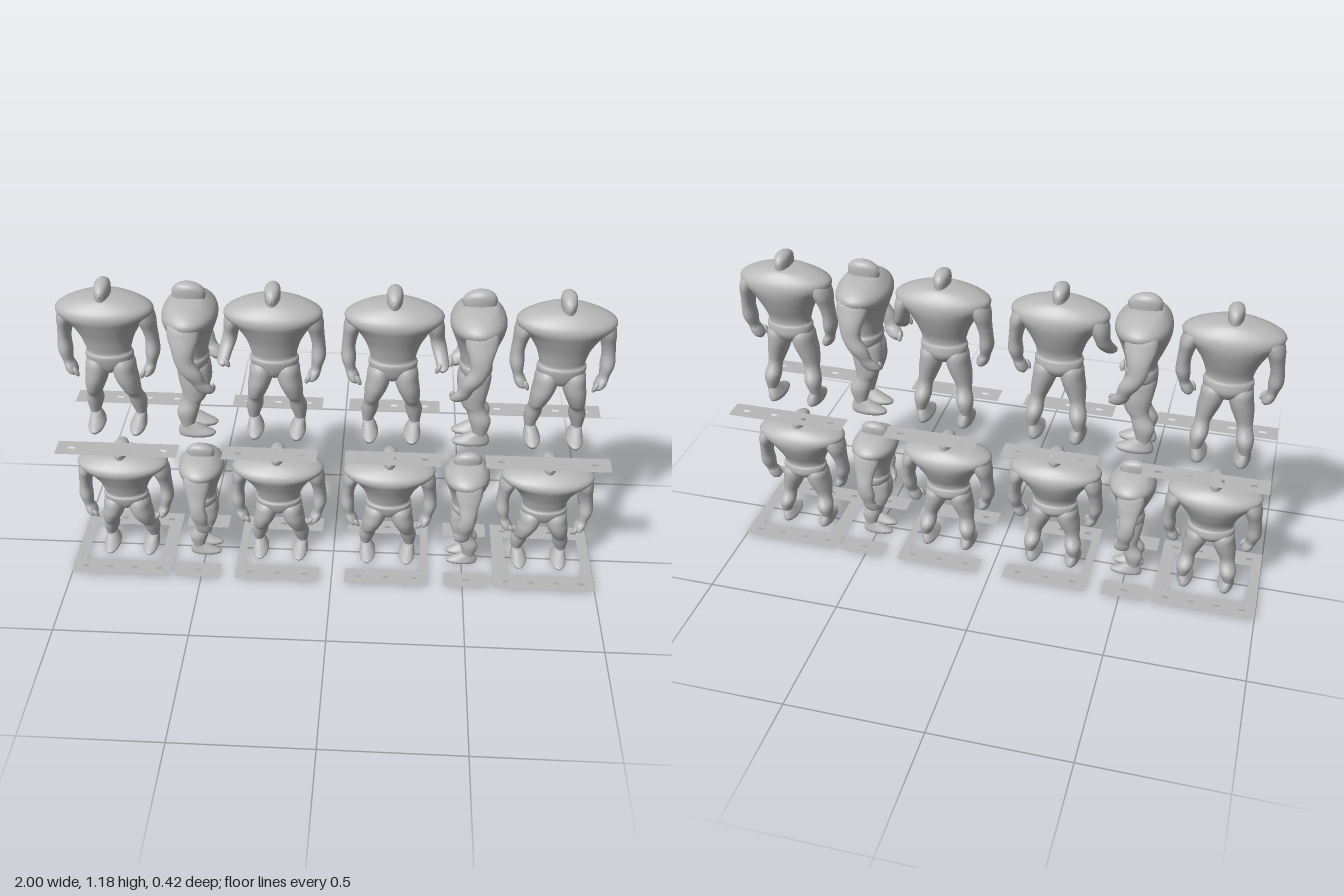
import * as THREE from 'three';

const grey = new THREE.MeshStandardMaterial({ color: 0xb8b8b8 });
grey.name = 'clay grey';
const plateGrey = new THREE.MeshStandardMaterial({ color: 0xb8b8b8, side: THREE.DoubleSide });
plateGrey.name = 'plate grey';

// Smooth body from elliptical sections, bottom to top: [y, centre x, centre z, radius x, radius z]
function loft(name, rows, side = 1, seg = 20) {
  const centre = new THREE.CatmullRomCurve3(rows.map(r => new THREE.Vector3(r[1] * side, r[0], r[2])), false, 'catmullrom');
  const radius = new THREE.CatmullRomCurve3(rows.map(r => new THREE.Vector3(r[3], r[4], 0)), false, 'catmullrom');
  const steps = (rows.length - 1) * 4;
  const pos = [], index = [];
  for (let i = 0; i <= steps; i++) {
    const c = centre.getPoint(i / steps), r = radius.getPoint(i / steps);
    for (let j = 0; j < seg; j++) {
      const a = j / seg * Math.PI * 2;
      pos.push(c.x + Math.max(r.x, 0.001) * Math.cos(a), c.y, c.z + Math.max(r.y, 0.001) * Math.sin(a));
    }
  }
  for (let i = 0; i < steps; i++) {
    for (let j = 0; j < seg; j++) {
      const k = (j + 1) % seg, lo = i * seg, hi = lo + seg;
      index.push(lo + j, hi + j, hi + k, lo + j, hi + k, lo + k);
    }
  }
  // end caps
  const first = rows[0], last = rows[rows.length - 1], n = pos.length / 3;
  pos.push(first[1] * side, first[0], first[2], last[1] * side, last[0], last[2]);
  for (let j = 0; j < seg; j++) {
    const k = (j + 1) % seg, top = steps * seg;
    index.push(n, j, k, n + 1, top + k, top + j);
  }
  const g = new THREE.BufferGeometry();
  g.setAttribute('position', new THREE.Float32BufferAttribute(pos, 3));
  g.setIndex(index);
  g.computeVertexNormals();
  const m = new THREE.Mesh(g, grey);
  m.name = name;
  return m;
}

const TORSO = [
  [0.245, 0, 0.005, 0.012, 0.02], [0.262, 0, 0, 0.045, 0.042], [0.29, 0, -0.003, 0.08, 0.056],
  [0.32, 0, 0, 0.087, 0.058], [0.334, 0, 0, 0.08, 0.053], [0.36, 0, 0, 0.085, 0.058],
  [0.40, 0, -0.003, 0.1, 0.072], [0.45, 0, -0.003, 0.132, 0.09], [0.485, 0, 0, 0.168, 0.098],
  [0.512, 0, 0, 0.168, 0.092], [0.537, 0, -0.003, 0.125, 0.072], [0.552, 0, -0.006, 0.065, 0.05],
  [0.557, 0, -0.008, 0.005, 0.01]];
// jaw overhangs in front, nape slopes into the back
const HEAD = [
  [0.515, 0, -0.02, 0.03, 0.05], [0.533, 0, -0.006, 0.026, 0.053], [0.55, 0, 0, 0.027, 0.057],
  [0.575, 0, 0, 0.028, 0.058], [0.592, 0, -0.002, 0.026, 0.047], [0.603, 0, -0.004, 0.017, 0.029],
  [0.608, 0, -0.005, 0.004, 0.008]];
const LEG = [
  [0.015, 0.086, -0.03, 0.018, 0.022], [0.045, 0.086, -0.03, 0.019, 0.024], [0.1, 0.08, -0.028, 0.031, 0.039],
  [0.14, 0.074, -0.012, 0.027, 0.035], [0.165, 0.069, 0, 0.031, 0.041], [0.21, 0.058, 0.004, 0.04, 0.053],
  [0.25, 0.049, 0.002, 0.043, 0.058], [0.29, 0.046, 0, 0.041, 0.055], [0.325, 0.04, 0, 0.022, 0.03]];
const FOOT = [
  [0, 0.077, 0, 0.027, 0.065], [0.012, 0.077, 0, 0.031, 0.068], [0.03, 0.08, -0.014, 0.025, 0.05],
  [0.052, 0.085, -0.028, 0.018, 0.026]];
const UPPER_ARM = [
  [0.42, 0.15, -0.008, 0.027, 0.042], [0.465, 0.14, -0.008, 0.034, 0.056],
  [0.505, 0.122, -0.008, 0.032, 0.05], [0.53, 0.1, -0.008, 0.005, 0.01]];
const HANGING = [
  [0.233, 0.13, 0.015, 0.006, 0.012], [0.248, 0.136, 0.014, 0.02, 0.03], [0.27, 0.144, 0.01, 0.021, 0.031],
  [0.29, 0.151, 0.006, 0.019, 0.026], [0.33, 0.157, 0, 0.026, 0.036], [0.375, 0.157, -0.006, 0.024, 0.034]];
const RAISED = [
  [0.325, 0.172, 0.075, 0.008, 0.012], [0.338, 0.173, 0.065, 0.021, 0.03], [0.358, 0.168, 0.038, 0.024, 0.036],
  [0.388, 0.158, 0.006, 0.027, 0.038]];
// hanging arm swung forward from the elbow and tucked in
const FORWARD = HANGING.map(([y, x, z, rx, rz]) => [y, x - 0.011, z + (0.375 - y) * 0.36, rx, rz]);

const FRONTAL = { breadth: 1, stance: 1 };
const PROFILE = { breadth: 0.84, stance: 0.47 };

function arm(side, lower, stretch, breadth) {
  const g = new THREE.Group();
  g.name = side > 0 ? 'leftArm' : 'rightArm';
  const drop = y => 0.53 - (0.53 - y) * stretch;
  const upper = UPPER_ARM.map(([y, x, ...rest], i) => [y, x * (i ? breadth : (1 + breadth) / 2), ...rest]);
  const rows = [...lower, ...upper].map(r => [drop(r[0]), ...r.slice(1)]);
  g.add(loft('armAndHand', rows, side));
  // thumb on the front inner edge of the hand
  const [y, x, z] = rows[1];
  const thumb = new THREE.Mesh(new THREE.SphereGeometry(0.01, 10, 8), grey);
  thumb.name = 'thumb';
  thumb.scale.set(0.9, 2, 1);
  thumb.position.set(side * (x - 0.016), y + 0.004, z + 0.022);
  thumb.rotation.z = -side * 0.4;
  g.add(thumb);
  return g;
}

function figure(name, leftArm, rightArm, stretch, { breadth, stance }) {
  const g = new THREE.Group();
  g.name = name;
  const torso = TORSO.map(([y, x, z, rx, rz]) => [y, x, z, rx * breadth, rz]);
  g.add(loft('torso', torso, 1, 32), loft('head', HEAD));
  const nose = new THREE.Mesh(new THREE.SphereGeometry(0.006, 10, 8), grey);
  nose.name = 'nose';
  nose.scale.set(0.8, 1.5, 0.8);
  nose.position.set(0, 0.567, 0.057);
  g.add(nose);
  const together = rows => rows.map(([y, x, ...rest]) => [y, x * stance, ...rest]);
  for (const s of [1, -1]) {
    g.add(loft('leg', together(LEG), s), loft('foot', together(FOOT), s));
    g.add(arm(s, s > 0 ? leftArm : rightArm, stretch, breadth));
  }
  return g;
}

// Thin floor plate with a row of small slots; x0..x1 by z0..z1
function plate(name, x0, x1, z0, z1, y) {
  const rect = (P, a, b, c, d) => {
    const p = new P();
    p.moveTo(a, c); p.lineTo(b, c); p.lineTo(b, d); p.lineTo(a, d); p.closePath();
    return p;
  };
  // the shape is laid flat, so its y runs along -z
  const shape = rect(THREE.Shape, x0, x1, -z1, -z0);
  const count = Math.floor((x1 - x0) / 0.09), mid = -(z0 + z1) / 2;
  if (z1 - z0 < 0.15) {
    for (let i = 0; i < count; i++) {
      const cx = x0 + (i + 0.5) * (x1 - x0) / count;
      shape.holes.push(rect(THREE.Path, cx - 0.012, cx + 0.012, mid - 0.006, mid + 0.006));
    }
  }
  const m = new THREE.Mesh(new THREE.ShapeGeometry(shape), plateGrey);
  m.name = name;
  m.rotation.x = -Math.PI / 2;
  m.position.y = y;
  return m;
}

export function createModel() {
  const model = new THREE.Group();
  const columns = [-0.8, -0.5, -0.21, 0.21, 0.5, 0.8];
  const turns = [0, 1, 0, 0, -1, 0];

  columns.forEach((x, i) => {
    const turned = turns[i] !== 0;
    const build = turned ? PROFILE : FRONTAL;
    // upper, taller row
    const left = turned ? FORWARD : i === 3 ? RAISED : HANGING;
    const right = turned ? FORWARD : i === 2 ? RAISED : HANGING;
    const tall = figure('tallFigure' + (i + 1), left, right, 1, build);
    tall.position.set(x, 0.572, 0);
    tall.rotation.y = turns[i] * Math.PI / 2;
    // lower, shorter row with longer arms
    const short = figure('shortFigure' + (i + 1), HANGING, HANGING, 1.13, build);
    short.position.set(x, 0, 0);
    short.rotation.y = turns[i] * Math.PI / 2;
    short.scale.set(turned ? 0.8 : 1, 0.82, turned ? 0.88 : 1);
    model.add(tall, short);
  });

  for (const s of [1, -1]) {
    const span = (a, b) => s > 0 ? [a, b] : [-b, -a];
    for (const f of [1, -1]) {
      const depth = (a, b) => f > 0 ? [a, b] : [-b, -a];
      // strips beneath the upper row
      for (const [a, b] of [[0.55, 0.99], [0.05, 0.39]])
        model.add(plate('upperStrip', ...span(a, b), ...depth(0.13, 0.21), 0.585));
      // strips beneath the lower row
      for (const [a, b] of [[0.62, 1], [0.43, 0.6], [0.05, 0.37]])
        model.add(plate('lowerStrip', ...span(a, b), ...depth(0.11, 0.19), 0.008));
    }
    // cross pieces closing the lower frames
    for (const [a, b] of [[0.96, 1], [0.62, 0.67], [0.34, 0.37]])
      model.add(plate('crossPiece', ...span(a, b), -0.11, 0.11, 0.008));
  }
  return model;
}
